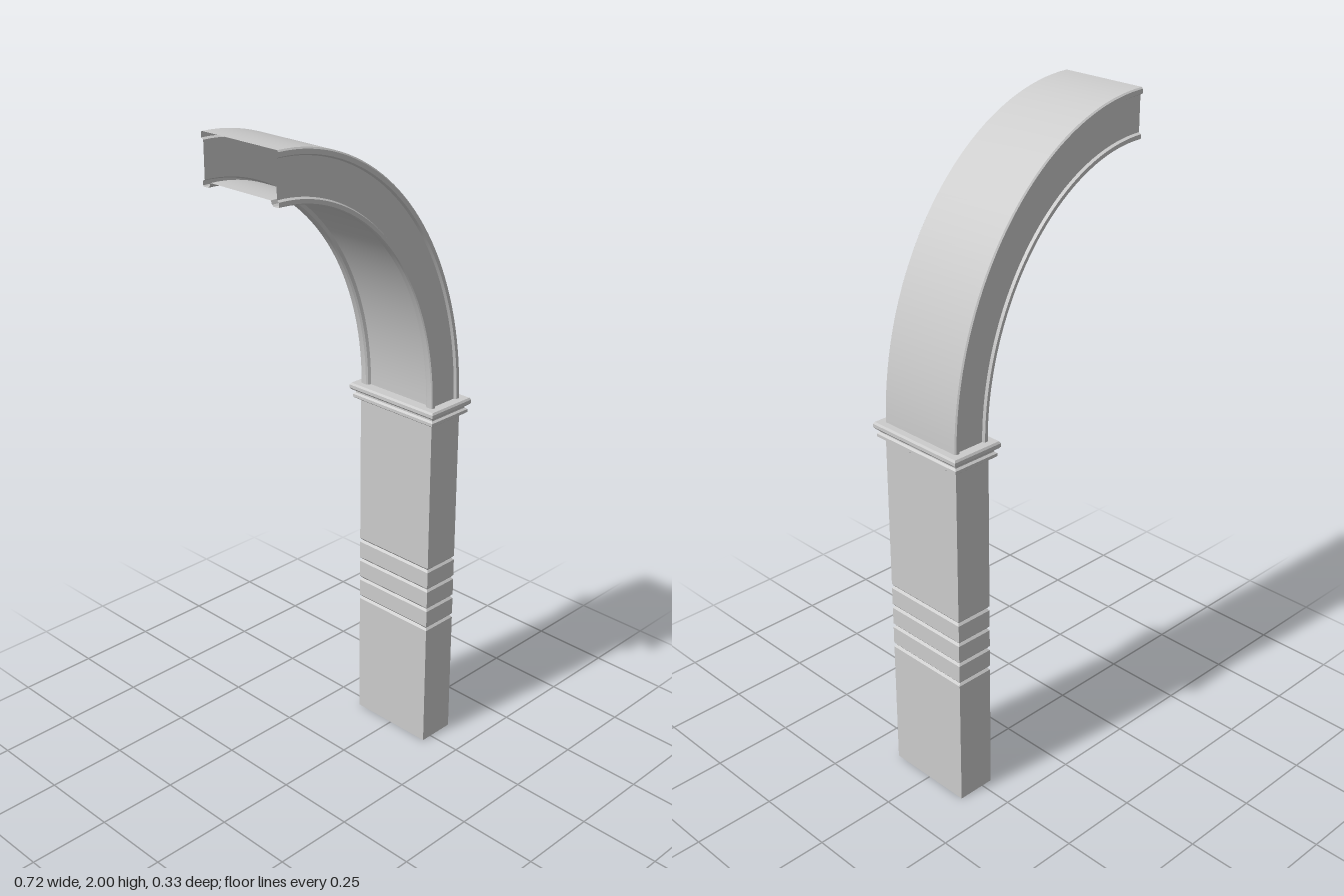
import * as THREE from 'three';
import { mergeVertices, toCreasedNormals } from 'three/addons/utils/BufferGeometryUtils.js';

const material = new THREE.MeshStandardMaterial({ color: 0xcccccc, side: THREE.DoubleSide });

// Skin a list of equally long rings of points with quads
function loft(rings, crease) {
  const pos = [];
  for (let i = 0; i < rings.length - 1; i++) {
    const a = rings[i], b = rings[i + 1], n = a.length;
    for (let j = 0; j < n; j++) {
      const k = (j + 1) % n;
      pos.push(...a[j], ...a[k], ...b[k], ...a[j], ...b[k], ...b[j]);
    }
  }
  const g = new THREE.BufferGeometry();
  g.setAttribute('position', new THREE.Float32BufferAttribute(pos, 3));
  return toCreasedNormals(mergeVertices(g), crease);
}

// Rectangular stack: each profile entry is [outward offset, height]
const POST = { x: 0.275, hx: 0.06, hz: 0.142 };
function rectStack(profile) {
  return loft(profile.map(([o, y]) => {
    const hx = Math.max(POST.hx + o, 0), hz = Math.max(POST.hz + o, 0);
    return [[1, 1], [1, -1], [-1, -1], [-1, 1]].map(([sx, sz]) => [POST.x + sx * hx, y, sz * hz]);
  }), 0.3);
}

function add(group, name, geometry) {
  const mesh = new THREE.Mesh(geometry, material);
  mesh.name = name;
  group.add(mesh);
}

export function createModel() {
  const group = new THREE.Group();
  group.name = 'halfArch';

  // Hollow post with four V-shaped grooves, open at the foot
  const post = [[0, 0]];
  for (const y of [0.413, 0.481, 0.549, 0.617]) {
    post.push([0, y - 0.007], [-0.006, y], [0, y + 0.007]);
  }
  post.push([0, 1.11]);
  add(group, 'post', rectStack(post));

  // Moulded collar on top of the post
  add(group, 'collar', rectStack([
    [-0.002, 1.1], [0.012, 1.1], [0.017, 1.104], [0.017, 1.113], [0.011, 1.118],
    [0.011, 1.124], [0.02, 1.128], [0.024, 1.133], [0.024, 1.143], [0.02, 1.149],
    [-0.059, 1.149],
  ]));

  // Arch section: [0 = inner curve .. 1 = outer curve, z], rims beside recessed panels
  const half = [
    [1, 0.138], [0.97, 0.142], [0.88, 0.142], [0.85, 0.134],
    [0.13, 0.134], [0.1, 0.142], [0.02, 0.142], [0, 0.138],
    [0, 0.122], [0.03, 0.116], [0.1, 0.112],
  ];
  const section = [...half, ...half.map(([t, z]) => [t, -z]).reverse()];

  // Quarter-ellipse sweep from the collar to the open crown
  const rings = [];
  const steps = 40;
  for (let i = 0; i <= steps; i++) {
    const a = (i / steps) * Math.PI / 2;
    rings.push(section.map(([t, z]) => [
      -0.365 + THREE.MathUtils.lerp(0.58, 0.7, t) * Math.cos(a),
      1.145 + THREE.MathUtils.lerp(0.713, 0.855, t) * Math.sin(a),
      z,
    ]).reverse());
  }
  add(group, 'arch', loft(rings, 0.35));

  return group;
}
